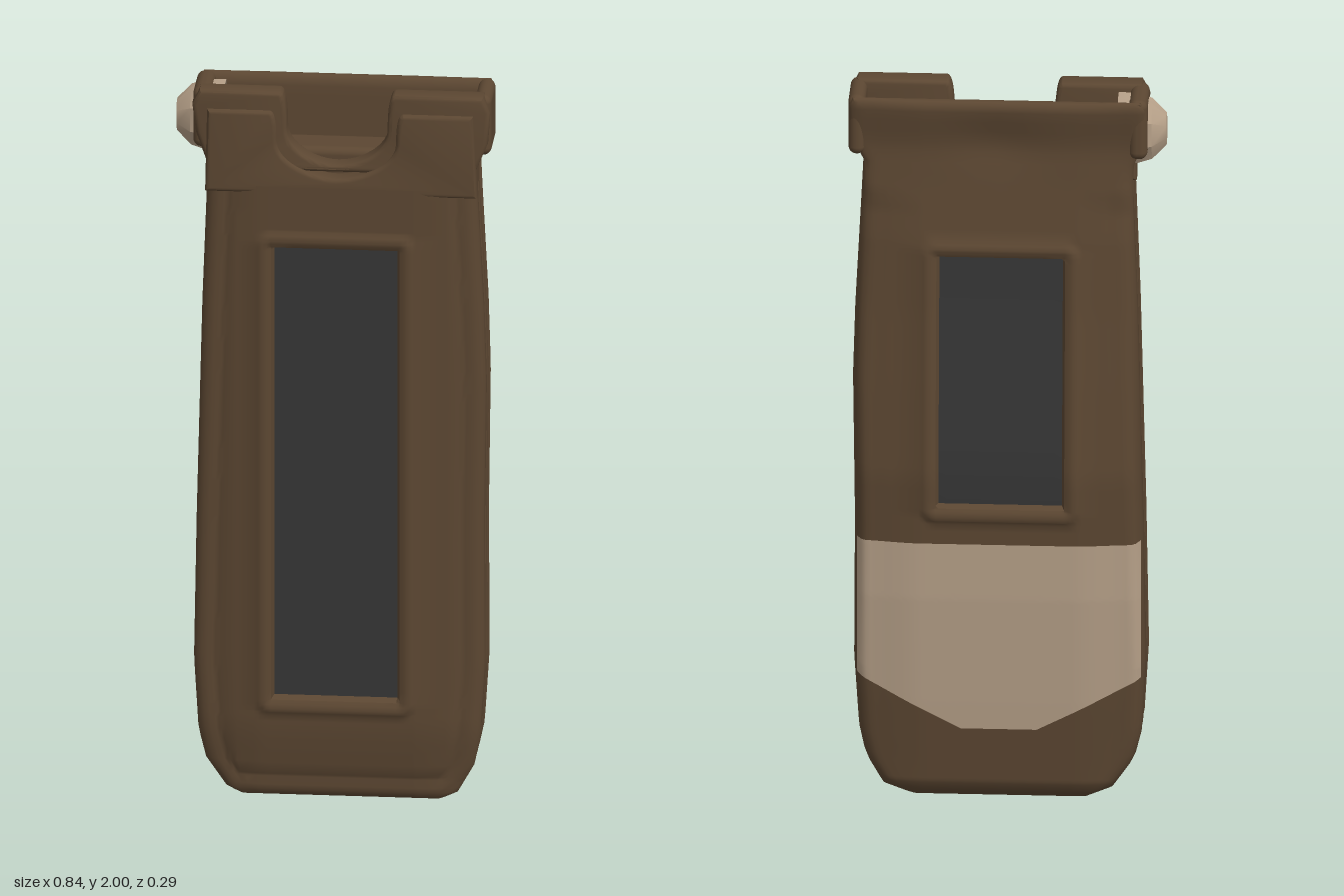
import * as THREE from 'three';
import { toCreasedNormals, mergeVertices } from 'three/addons/utils/BufferGeometryUtils.js';
import { RoundedBoxGeometry } from 'three/addons/geometries/RoundedBoxGeometry.js';

const brown = new THREE.MeshStandardMaterial({ color: 0x5c4732 });
brown.name = 'brown casing';
const tan = new THREE.MeshStandardMaterial({ color: 0xb7a189, side: THREE.DoubleSide });
tan.name = 'tan';
const grey = new THREE.MeshStandardMaterial({ color: 0x363636, side: THREE.DoubleSide });
grey.name = 'dark grey pane';

// piecewise linear lookup through [key, value] pairs
function along(pairs, y) {
  if (y <= pairs[0][0]) return pairs[0][1];
  for (let i = 1; i < pairs.length; i++) {
    const [a, va] = pairs[i - 1], [b, vb] = pairs[i];
    if (y <= b) return va + (vb - va) * (y - a) / (b - a);
  }
  return pairs[pairs.length - 1][1];
}

// side outlines shared by all layers
const leftEdge = [[0.005, -0.2], [0.04, -0.28], [0.12, -0.335], [0.2, -0.355], [0.4, -0.367], [0.8, -0.36],
  [1.4, -0.345], [1.8, -0.33], [1.88, -0.36], [1.97, -0.365], [2, -0.35]];
const rightEdge = [[0.005, 0.24], [0.04, 0.33], [0.12, 0.375], [0.2, 0.392], [0.4, 0.405], [0.8, 0.403],
  [1.2, 0.408], [1.4, 0.402], [1.82, 0.38], [1.88, 0.415], [1.97, 0.418], [2, 0.405]];
const backDepth = [[0, -0.05], [0.06, -0.08], [0.3, -0.102], [0.6, -0.126], [0.95, -0.138], [1.2, -0.118],
  [1.4, -0.1], [1.6, -0.087], [1.75, -0.067], [1.86, -0.056], [2, -0.08]];

const smooth = (a, b, v) => THREE.MathUtils.smoothstep(v, a, b);
const crown = x => 0.018 * smooth(0.2, 0.37, Math.abs(x - 0.025));

// raised frame around a sunk window: height added to a face
function windowRelief(w, x, y, depth) {
  const dx = Math.max(w.x0 - x, x - w.x1), dy = Math.max(w.y0 - y, y - w.y1);
  const d = dx > 0 && dy > 0 ? Math.hypot(dx, dy) : Math.max(dx, dy);
  if (d < -0.004) return -depth;
  return d < 0.045 ? 0.009 * Math.sin(Math.PI * Math.max(d, 0) / 0.045) : 0;
}

// distance in from the rim of a layer
function rim(p, x, y) {
  return Math.max(0, Math.min(x - along(leftEdge, y), along(rightEdge, y) - x, y - p.y0, p.roundTop ? p.y1 - y : 9));
}

// height of one face, rounded off towards the rim, with a shallow border groove
function faceZ(p, face, x, y) {
  const e = rim(p, x, y), t = Math.min(1, e / 0.035);
  const k = Math.sqrt(Math.max(0, 1 - (1 - t) ** 2));
  const mid = p.mid(y), out = face === p.front ? 1 : -1;
  const groove = e > 0.04 && e < 0.075 && p.groove ? 0.005 * Math.sin(Math.PI * (e - 0.04) / 0.035) : 0;
  return mid + (face(x, y) - mid) * k - out * groove;
}

function creased(geometry, angle = 0.7) {
  geometry.deleteAttribute('uv');
  return toCreasedNormals(mergeVertices(geometry), angle);
}

// grid of points in rows; flip turns it to face -z
function gridIndex(index, cols, rows, base, flip) {
  for (let j = 0; j < rows - 1; j++) for (let i = 0; i < cols - 1; i++) {
    const a = base + j * cols + i, b = a + 1, d = a + cols, c = d + 1;
    index.push(...(flip ? [a, c, b, a, d, c] : [a, b, c, a, c, d]));
  }
}

function meshFrom(positions, index, material, name) {
  const g = new THREE.BufferGeometry();
  g.setAttribute('position', new THREE.Float32BufferAttribute(positions, 3));
  g.setIndex(index);
  const mesh = new THREE.Mesh(creased(g), material);
  mesh.name = name;
  return mesh;
}

// closed layer made of a front and a back face
function layer(p, name) {
  const w = p.window, rowSet = [0, 0.004, 0.012, 0.022, 0.035, 0.05, 0.0575, 0.065, 0.075].map(v => p.y0 + v);
  for (let y = p.y0 + 0.1; y < p.y1 - 0.02; y += 0.03) rowSet.push(y);
  for (const v of p.roundTop ? [0.035, 0.02, 0.01, 0.003, 0] : [0]) rowSet.push(p.y1 - v);
  const inner = [-0.25, -0.1, -0.04, 0.02, 0.08, 0.14, 0.3];
  if (w) for (const d of [-0.008, 0, 0.011, 0.0225, 0.034, 0.045]) {
    rowSet.push(w.y0 - d, w.y1 + d);
    inner.push(w.x0 - d, w.x1 + d);
  }
  rowSet.sort((a, b) => a - b);
  inner.sort((a, b) => a - b);
  const edge = [0, 0.003, 0.01, 0.02, 0.035, 0.05, 0.0575, 0.065, 0.075];
  const positions = [], index = [], cols = inner.length + edge.length * 2;
  for (const face of [p.front, p.back]) {
    gridIndex(index, cols, rowSet.length, positions.length / 3, face === p.back);
    for (const y of rowSet) {
      const l = along(leftEdge, y), r = along(rightEdge, y);
      const xs = [...edge.map(e => l + e), ...inner.map(x => Math.min(r - 0.075, Math.max(l + 0.075, x))),
        ...edge.map(e => r - e).reverse()];
      for (const x of xs) positions.push(x, y, faceZ(p, face, x, y));
    }
  }
  return meshFrom(positions, index, brown, name);
}

// thin sheet following a surface
function sheet(x0, x1, low, high, z, material, name, flip, n = 60) {
  const positions = [], index = [];
  for (let j = 0; j <= n; j++) for (let i = 0; i <= n; i++) {
    const x = x0 + (x1 - x0) * i / n, y = low(x) + (high - low(x)) * j / n;
    positions.push(x, y, z(x, y));
  }
  gridIndex(index, n + 1, n + 1, 0, flip);
  return meshFrom(positions, index, material, name);
}

// front wall with a U-shaped thumb notch
function notchedWall(o, z0, z1, name) {
  const s = new THREE.Shape();
  s.moveTo(o.outline[0][0], o.outline[0][1]);
  o.outline.slice(1).forEach(q => s.lineTo(q[0], q[1]));
  const [l, r, top, bottom] = o.notch, m = (l + r) / 2, k = bottom + 0.1;
  s.lineTo(r + 0.02, top);
  s.quadraticCurveTo(r, top, r, k);
  s.bezierCurveTo(r, bottom + 0.04, m + 0.06, bottom, m, bottom);
  s.bezierCurveTo(m - 0.06, bottom, l, bottom + 0.04, l, k);
  s.quadraticCurveTo(l, top, l - 0.02, top);
  const b = 0.012;
  const g = new THREE.ExtrudeGeometry(s, { depth: z1 - z0 - 2 * b, bevelThickness: b, bevelSize: b,
    bevelOffset: -b, bevelSegments: 3, curveSegments: 12 });
  g.translate(0, 0, z0 + b);
  const mesh = new THREE.Mesh(creased(g), brown);
  mesh.name = name;
  return mesh;
}

function block(x0, x1, y0, y1, z0, z1, r, name) {
  const mesh = new THREE.Mesh(new RoundedBoxGeometry(x1 - x0, y1 - y0, z1 - z0, 3, r), brown);
  mesh.position.set((x0 + x1) / 2, (y0 + y1) / 2, (z0 + z1) / 2);
  mesh.name = name;
  return mesh;
}

export function createModel() {
  const model = new THREE.Group();
  model.name = 'layeredCase';

  // three stacked layers
  const frontWindow = { x0: -0.16, x1: 0.18, y0: 0.3, y1: 1.57 };
  const backWindow = { x0: -0.155, x1: 0.185, y0: 0.86, y1: 1.56 };
  const frontLayer = { y0: 0.02, y1: 1.74, window: frontWindow, groove: true, mid: () => 0.088, back: () => 0.071,
    front: (x, y) => 0.11 + 0.022 * smooth(0.02, 0.25, y) - crown(x) + windowRelief(frontWindow, x, y, 0.028) };
  const middleLayer = { y0: 0.005, y1: 1.74, mid: () => 0.032, front: () => 0.057, back: () => 0.007 };
  const backLayer = { y0: 0.005, y1: 1.995, roundTop: true, window: backWindow,
    mid: y => along([[0, -0.03], [1.7, -0.03], [1.85, -0.042], [2, -0.055]], y),
    front: (x, y) => along([[0, -0.01], [1.7, -0.01], [1.78, -0.03], [2, -0.035]], y),
    back: (x, y) => along(backDepth, y) + crown(x) * (y < 1.7 ? 1 : 0.4) - windowRelief(backWindow, x, y, 0.024)
      + 0.01 * Math.exp(-(((x - 0.025) / 0.1) ** 2) - ((y - 1.87) / 0.07) ** 2) };
  model.add(layer(frontLayer, 'frontLayer'), layer(middleLayer, 'middleLayer'), layer(backLayer, 'backLayer'));

  // dark panes
  const pane = (w, z, name, flip) => sheet(w.x0, w.x1, () => w.y0, w.y1, z, grey, name, flip, 12);
  model.add(
    pane(frontWindow, x => 0.107 - crown(x), 'frontPane', false),
    pane(backWindow, (x, y) => along(backDepth, y) + 0.021, 'backPane', true),
    pane({ x0: -0.32, x1: 0.36, y0: 0.3, y1: 1.5 }, () => 0.06, 'innerPaneFront', false),
    pane({ x0: -0.32, x1: 0.36, y0: 0.3, y1: 1.5 }, () => 0.004, 'innerPaneBack', true));

  // pale patch on the lower back, with a chamfered lower edge
  const patchLow = x => along([[-0.36, 0.37], [-0.08, 0.22], [0.12, 0.22], [0.4, 0.37]], x);
  model.add(sheet(-0.355, 0.395, patchLow, 0.76, (x, y) => faceZ(backLayer, backLayer.back, x, y) - 0.005, tan, 'backPatch', true));

  // head: notched walls, end walls and the floor between them
  model.add(
    notchedWall({ outline: [[-0.33, 1.95], [-0.335, 1.72], [0.385, 1.72], [0.375, 1.95]], notch: [-0.145, 0.17, 1.95, 1.765] },
      0.071, 0.131, 'frontCollar'),
    notchedWall({ outline: [[-0.35, 2], [-0.37, 1.96], [-0.36, 1.88], [-0.325, 1.78], [0.375, 1.78], [0.412, 1.87], [0.418, 1.96], [0.4, 2]],
      notch: [-0.12, 0.147, 2, 1.8] }, 0.055, 0.12, 'frontLip'),
    block(-0.37, -0.32, 1.83, 1.998, -0.06, 0.1, 0.022, 'rightEndWall'),
    block(0.375, 0.42, 1.83, 1.998, -0.06, 0.1, 0.022, 'leftEndWall'),
    block(-0.325, 0.378, 1.69, 1.83, -0.045, 0.07, 0.02, 'shoulder'));

  // faceted pale knob on the right corner
  const profile = [[0.1, -0.05], [0.098, 0], [0.085, 0.04], [0.045, 0.078], [0, 0.08]].map(q => new THREE.Vector2(...q));
  const knobGeometry = new THREE.LatheGeometry(profile, 8, Math.PI / 8);
  knobGeometry.rotateZ(Math.PI / 2);
  knobGeometry.scale(1, 1, 0.62);
  const knob = new THREE.Mesh(creased(knobGeometry, 0.5), tan);
  knob.position.set(-0.34, 1.895, 0.015);
  knob.name = 'cornerKnob';
  model.add(knob);
  return model;
}
